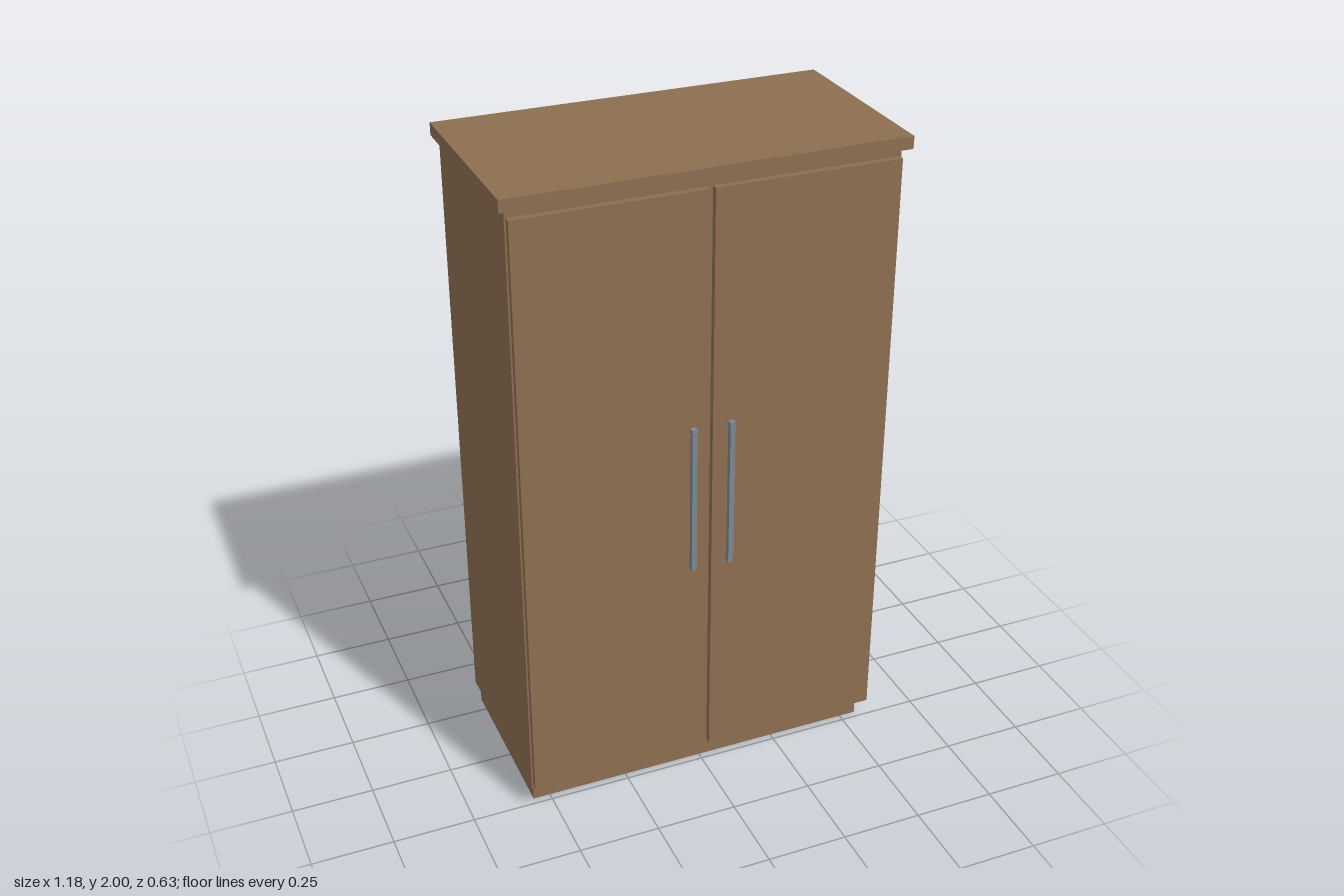
import * as THREE from 'three';

const wood = new THREE.MeshStandardMaterial({ color: 0x8c6e50, side: THREE.DoubleSide });
wood.name = 'wood';
const metal = new THREE.MeshStandardMaterial({ color: 0x7c8790 });
metal.name = 'metal';

// Box given by its limits along each axis
function box(name, material, [x0, x1], [y0, y1], [z0, z1]) {
  const mesh = new THREE.Mesh(new THREE.BoxGeometry(x1 - x0, y1 - y0, z1 - z0), material);
  mesh.position.set((x0 + x1) / 2, (y0 + y1) / 2, (z0 + z1) / 2);
  mesh.name = name;
  return mesh;
}

// Four thin walls, open underneath
function createPlinth(halfWidth, height, back, front) {
  const plinth = new THREE.Group();
  plinth.name = 'plinth';
  const depth = front - back, midZ = (front + back) / 2;
  const walls = [
    ['plinthFront', halfWidth * 2, 0, front, 0],
    ['plinthBack', halfWidth * 2, 0, back, Math.PI],
    ['plinthLeft', depth, halfWidth, midZ, Math.PI / 2],
    ['plinthRight', depth, -halfWidth, midZ, -Math.PI / 2],
  ];
  for (const [name, width, x, z, turn] of walls) {
    const wall = new THREE.Mesh(new THREE.PlaneGeometry(width, height), wood);
    wall.position.set(x, height / 2, z);
    wall.rotation.y = turn;
    wall.name = name;
    plinth.add(wall);
  }
  return plinth;
}

// Square bar on two short posts
function createHandle(x) {
  const handle = new THREE.Group();
  handle.name = 'handle';
  handle.add(box('handleBar', metal, [x - 0.008, x + 0.008], [0.767, 1.237], [0.298, 0.314]));
  for (const y of [0.783, 1.221]) {
    handle.add(box('handlePost', metal, [x - 0.005, x + 0.005], [y - 0.005, y + 0.005], [0.285, 0.299]));
  }
  return handle;
}

export function createModel() {
  const wardrobe = new THREE.Group();
  wardrobe.name = 'wardrobe';

  wardrobe.add(createPlinth(0.553, 0.078, -0.304, 0.228));
  wardrobe.add(box('cabinetBody', wood, [-0.569, 0.569], [0.078, 1.963], [-0.304, 0.267]));
  wardrobe.add(box('topBoard', wood, [-0.59, 0.59], [1.963, 2], [-0.314, 0.294]));

  // Mirrored doors with their handles
  for (const side of [-1, 1]) {
    const door = new THREE.Group();
    door.name = side > 0 ? 'leftDoor' : 'rightDoor';
    const xs = [side * 0.008, side * 0.564].sort((a, b) => a - b);
    door.add(box('doorPanel', wood, xs, [0.087, 1.937], [0.267, 0.286]));
    door.add(createHandle(side * 0.058));
    wardrobe.add(door);
  }
  return wardrobe;
}
